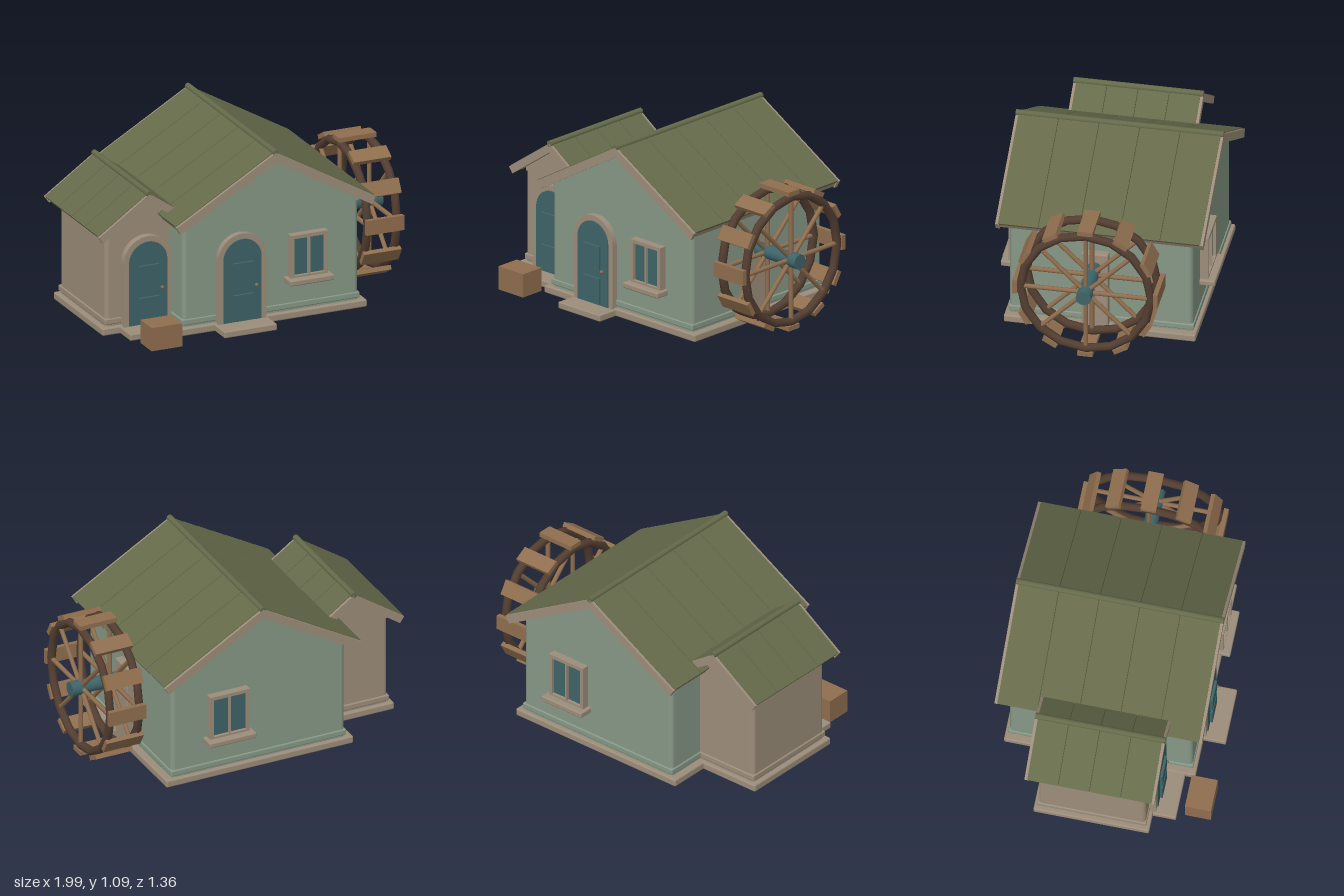
import * as THREE from 'three';
import { RoundedBoxGeometry } from 'three/addons/geometries/RoundedBoxGeometry.js';

const mat = (name, color) => {
  const m = new THREE.MeshStandardMaterial({ color });
  m.name = name;
  return m;
};

export function createModel() {
  const root = new THREE.Group();
  root.name = 'watermill';
  const M = {
    plaster: mat('sage plaster', 0x869886),
    stone: mat('tan stone', 0x9c8d7a),
    roof: mat('olive roof', 0x656a4a),
    seam: mat('dark olive seam', 0x4a4e36),
    teal: mat('teal paint', 0x3e6468),
    wood: mat('light wood', 0x8f6e4e),
    dark: mat('dark wood', 0x533e31),
  };

  const add = (name, geo, material, parent = root) => {
    const mesh = new THREE.Mesh(geo, material);
    mesh.name = name;
    parent.add(mesh);
    return mesh;
  };
  const box = (name, m, [x0, x1], [y0, y1], [z0, z1], r = 0, parent = root) => {
    const s = [x1 - x0, y1 - y0, z1 - z0];
    const geo = r ? new RoundedBoxGeometry(...s, 2, r) : new THREE.BoxGeometry(...s);
    geo.translate((x0 + x1) / 2, (y0 + y1) / 2, (z0 + z1) / 2);
    return add(name, geo, m, parent);
  };
  const extrude = (shape, z0, z1) =>
    new THREE.ExtrudeGeometry(shape, { depth: z1 - z0, bevelEnabled: false, curveSegments: 16 }).translate(0, 0, z0);
  const poly = (pts) => new THREE.Shape(pts.map(([x, y]) => new THREE.Vector2(x, y)));

  // Walls with rounded vertical corners
  const walls = (name, m, [x0, x1], [y0, y1], [z0, z1], r, parent) => {
    const s = new THREE.Shape();
    s.absarc(x1 - r, -z0 - r, r, 0, Math.PI / 2);
    s.absarc(x0 + r, -z0 - r, r, Math.PI / 2, Math.PI);
    s.absarc(x0 + r, -z1 + r, r, Math.PI, Math.PI * 1.5);
    s.absarc(x1 - r, -z1 + r, r, Math.PI * 1.5, Math.PI * 2);
    const geo = new THREE.ExtrudeGeometry(s, { depth: y1 - y0, bevelEnabled: false, curveSegments: 5 });
    geo.rotateX(-Math.PI / 2).translate(0, y0, 0);
    return add(name, geo, m, parent);
  };

  // Bent band following both roof slopes
  const chevron = (cx, top, half, slope, t) => {
    const a = Math.atan(slope), dx = t * Math.sin(a), dy = t * Math.cos(a), eave = top - slope * half;
    return poly([
      [cx - half, eave], [cx - half + dx, eave - dy], [cx, top - t / Math.cos(a)],
      [cx + half - dx, eave - dy], [cx + half, eave], [cx, top],
    ]);
  };

  // One gabled building: plinth, walls, gable and roof
  const building = (name, o) => {
    const g = new THREE.Group();
    g.name = name;
    root.add(g);
    const { x: [x0, x1], z: [z0, z1], wallTop, cx, top, half, slope, t, roofZ: [r0, r1], px, panels } = o;
    box('plinth', M.stone, [x0 - px, x1 + px], [0.005, 0.052], [z0 - 0.025, z1 + 0.027], 0.01, g);
    walls('walls', o.wall, [x0, x1], [0.03, wallTop], [z0, z1], 0.025, g);
    box('baseTrim', o.wall, [x0 - 0.008, x1 + 0.008], [0.062, 0.1], [z0 - 0.008, z1 + 0.006], 0.008, g);
    const e = top - slope * (x1 - cx) - t * 0.8;
    add('gable', extrude(poly([[x0, wallTop], [x1, wallTop], [x1, e], [cx, top - t * 0.8], [x0, e]]), z0, z1), o.wall, g);
    // Soffit, end boards, then the covering in separate panels
    add('roofFrame', extrude(chevron(cx, top - 0.008, half - 0.01, slope, t - 0.008), r0 + 0.02, r1 - 0.02), M.stone, g);
    for (const [a, b] of [[r0, r0 + 0.024], [r1 - 0.024, r1]])
      add('bargeBoard', extrude(chevron(cx, top - 0.002, half, slope, t), a, b), M.stone, g);
    add('roofUnderlay', extrude(chevron(cx, top - 0.003, half - 0.006, slope, 0.012), r0 + 0.016, r1 - 0.016), M.seam, g);
    const step = (r1 - r0 - 0.03) / panels;
    for (let i = 0; i < panels; i++) {
      const a = r0 + 0.015 + i * step;
      add('roofPanel', extrude(chevron(cx, top + 0.003, half, slope, 0.014), a + 0.002, a + step - 0.002), M.roof, g);
    }
    const ridge = new THREE.CylinderGeometry(0.019, 0.019, r1 - r0, 12).rotateX(Math.PI / 2);
    add('ridgePole', ridge.translate(cx, top - 0.004, (r0 + r1) / 2), M.roof, g);
  };
  building('mainHouse', {
    wall: M.plaster, x: [-0.515, 0.617], z: [-0.587, 0.508], wallTop: 0.672, cx: 0.055, top: 1.082,
    half: 0.643, slope: 0.58, t: 0.052, roofZ: [-0.663, 0.579], px: 0.046, panels: 5,
  });
  building('annex', {
    wall: M.stone, x: [-0.923, -0.42], z: [-0.33, 0.31], wallTop: 0.617, cx: -0.67, top: 0.868,
    half: 0.326, slope: 0.69, t: 0.046, roofZ: [-0.4, 0.377], px: 0.032, panels: 4,
  });

  // Arched doors with frame, raised panels, knob and step
  const arch = (r, y0, y1) => {
    const s = new THREE.Shape();
    s.moveTo(-r, y0);
    s.lineTo(r, y0);
    s.lineTo(r, y1);
    s.absarc(0, y1, r, 0, Math.PI);
    return s;
  };
  const door = (x, z) => {
    const g = new THREE.Group();
    g.name = 'door';
    g.position.set(x, 0, z);
    root.add(g);
    const frame = new THREE.Shape();
    frame.moveTo(0.155, 0.045);
    frame.lineTo(0.155, 0.44);
    frame.absarc(0, 0.44, 0.155, 0, Math.PI);
    frame.lineTo(-0.155, 0.045);
    frame.lineTo(-0.122, 0.045);
    frame.lineTo(-0.122, 0.44);
    frame.absarc(0, 0.44, 0.122, Math.PI, 0, true);
    frame.lineTo(0.122, 0.045);
    add('doorFrame', extrude(frame, -0.01, 0.038), M.stone, g);
    add('doorLeaf', extrude(arch(0.122, 0.05, 0.44), -0.01, 0.045), M.teal, g);
    box('upperPanel', M.teal, [-0.068, 0.066], [0.27, 0.42], [0.04, 0.06], 0, g);
    box('lowerPanel', M.teal, [-0.068, 0.066], [0.06, 0.22], [0.04, 0.06], 0, g);
    add('doorKnob', new THREE.SphereGeometry(0.011, 10, 8).translate(0.085, 0.268, 0.056), M.wood, g);
    box('doorStep', M.stone, [-0.17, 0.17], [0.004, 0.046], [-0.02, 0.16], 0.008, g);
  };
  door(-0.15, 0.508);
  door(-0.67, 0.315);

  // Two-pane windows with sill
  const win = (x, z, y0, y1, turn, w, sill) => {
    const g = new THREE.Group();
    g.name = 'window';
    g.position.set(x, 0, z);
    g.rotation.y = turn;
    root.add(g);
    const f = poly([[-w, y0], [w, y0], [w, y1], [-w, y1]]);
    for (const s of [-1, 1]) {
      const a = s * 0.006, b = s * (w - 0.022);
      f.holes.push(new THREE.Path([[a, y0 + 0.015], [a, y1 - 0.022], [b, y1 - 0.022], [b, y0 + 0.015]]
        .map(([px, py]) => new THREE.Vector2(px, py))));
    }
    add('windowFrame', extrude(f, -0.01, 0.048), M.stone, g);
    box('glass', M.teal, [-w + 0.01, w - 0.01], [y0 + 0.01, y1 - 0.01], [0.02, 0.028], 0, g);
    box('windowSill', M.stone, [-sill, sill], [y0 - 0.032, y0 + 0.003], [-0.01, 0.092], 0.008, g);
  };
  win(0.28, 0.508, 0.265, 0.533, 0, 0.12, 0.142);
  win(0.258, -0.587, 0.272, 0.555, Math.PI, 0.13, 0.153);

  // Axle support on the side wall
  box('axleSupport', M.stone, [0.6, 0.664], [0.005, 0.545], [-0.09, 0.07], 0.008);

  // Water wheel, turning about x
  const wheel = new THREE.Group();
  wheel.name = 'waterWheel';
  wheel.position.set(0, 0.45, -0.008);
  root.add(wheel);
  for (const x of [0.735, 0.925]) {
    const rim = new THREE.TorusGeometry(0.39, 0.026, 8, 16).rotateY(Math.PI / 2);
    add('rim', rim.translate(x, 0, 0), M.dark, wheel);
    for (let i = 0; i < 8; i++) {
      const spoke = new THREE.CylinderGeometry(0.014, 0.014, 0.38, 8).translate(x, 0.19, 0);
      add('spoke', spoke.rotateX((i * Math.PI) / 4), M.wood, wheel);
    }
  }
  for (let i = 0; i < 12; i++) {
    const paddle = new THREE.BoxGeometry(0.242, 0.028, 0.092).translate(0.831, 0.42, 0);
    add('paddle', paddle.rotateX((i * Math.PI) / 6), M.wood, wheel);
  }
  const axle = (name, r, x0, x1) =>
    add(name, new THREE.CylinderGeometry(r, r, x1 - x0, 16).rotateZ(Math.PI / 2).translate((x0 + x1) / 2, 0, 0), M.teal, wheel);
  axle('axle', 0.042, 0.64, 0.95);
  axle('hubCap', 0.046, 0.905, 0.997);

  // Crate in front of the annex
  box('crate', M.wood, [-0.795, -0.595], [0.003, 0.148], [0.52, 0.676]);
  return root;
}
